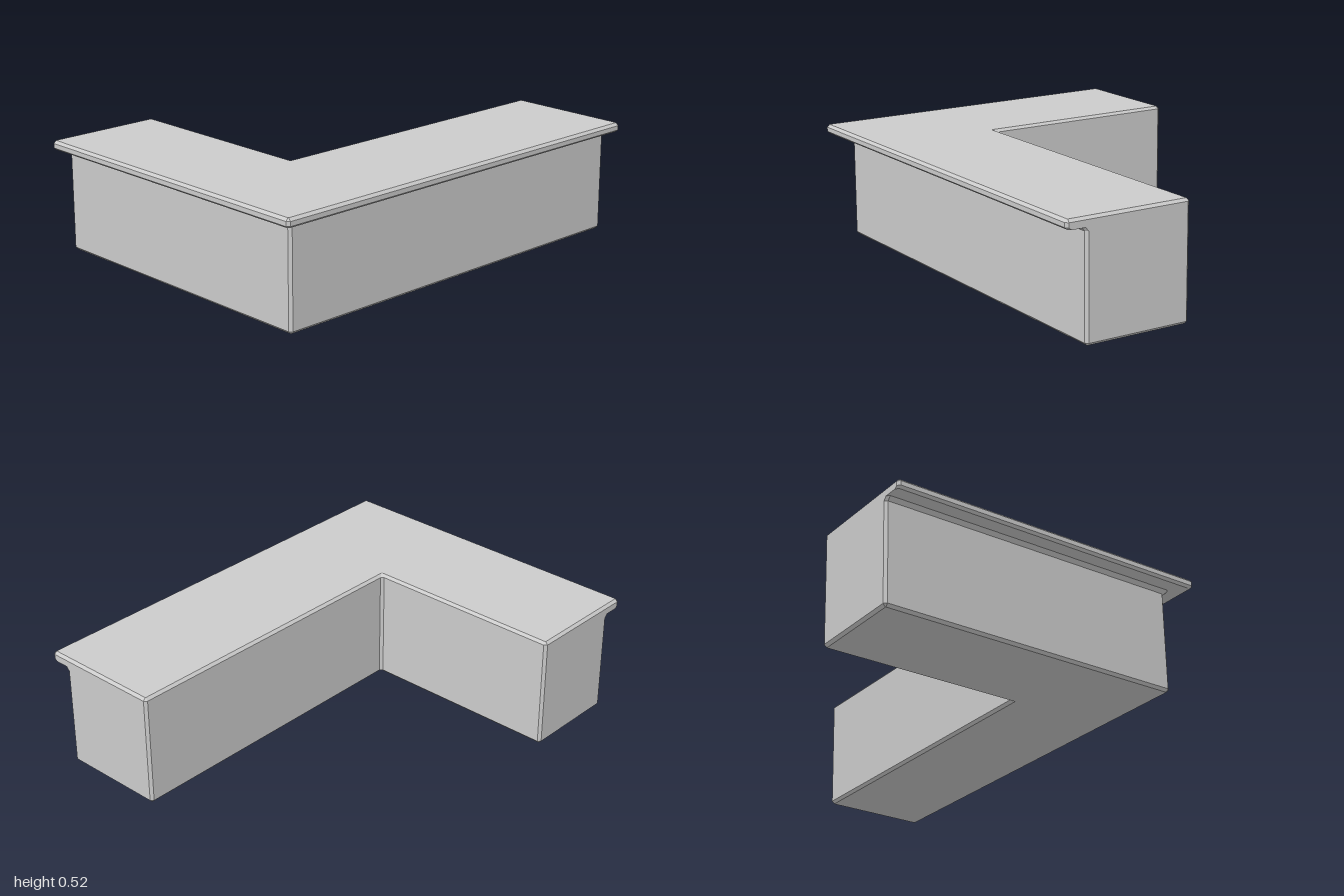
import * as THREE from 'three';

const BEVEL = 0.012;

// L-shaped outline with clipped corners; `over` pushes out the two customer-facing sides
function ring(y, over, inset = 0) {
  const left = -0.757 + inset, inner = 0.175 + inset, right = 0.667 + over - inset;
  const back = -1 + inset, notch = 0.46 + inset, front = 0.912 + over - inset;
  const clip = inset > 0 ? 0.002 : BEVEL;
  const corners = [
    [left, front], [right, front], [right, back],
    [inner, back], [inner, notch], [left, notch],
  ].map(([x, z]) => new THREE.Vector3(x, y, z));
  return corners.flatMap((p, i) => [corners.at(i - 1), corners[(i + 1) % 6]].map(
    (q) => p.clone().add(q.clone().sub(p).setLength(clip))));
}

// Joins successive outlines with flat walls and closes one end
function loft(rings, capTop) {
  const points = [];
  for (let k = 0; k + 1 < rings.length; k++) {
    const low = rings[k], high = rings[k + 1];
    low.forEach((a, i) => {
      const j = (i + 1) % low.length;
      points.push(a, low[j], high[j], a, high[j], high[i]);
    });
  }
  const cap = capTop ? rings.at(-1) : rings[0];
  const flat = cap.map((p) => new THREE.Vector2(p.x, -p.z));
  for (const [a, b, c] of THREE.ShapeUtils.triangulateShape(flat, [])) {
    points.push(cap[a], cap[capTop ? b : c], cap[capTop ? c : b]);
  }
  const geometry = new THREE.BufferGeometry().setFromPoints(points);
  geometry.computeVertexNormals();
  return geometry;
}

export function createModel() {
  const group = new THREE.Group();
  group.name = 'cornerCounter';
  const material = new THREE.MeshStandardMaterial({ color: 0xcccccc, flatShading: true });
  const add = (name, geometry) => {
    const mesh = new THREE.Mesh(geometry, material);
    mesh.name = name;
    group.add(mesh);
  };

  const flare = ring(0.475, 0.015);

  // Cabinet with bevelled foot and a small flare under the lip
  add('counterBase', loft([ring(0, 0, BEVEL), ring(BEVEL, 0), ring(0.458, 0), flare], false));

  // Worktop overhanging the two outer sides, flush on the inner sides
  add('counterTop', loft([
    flare, ring(0.475, 0.09 - BEVEL), ring(0.485, 0.09),
    ring(0.517 - BEVEL, 0.09), ring(0.517, 0.09, BEVEL),
  ], true));

  return group;
}
